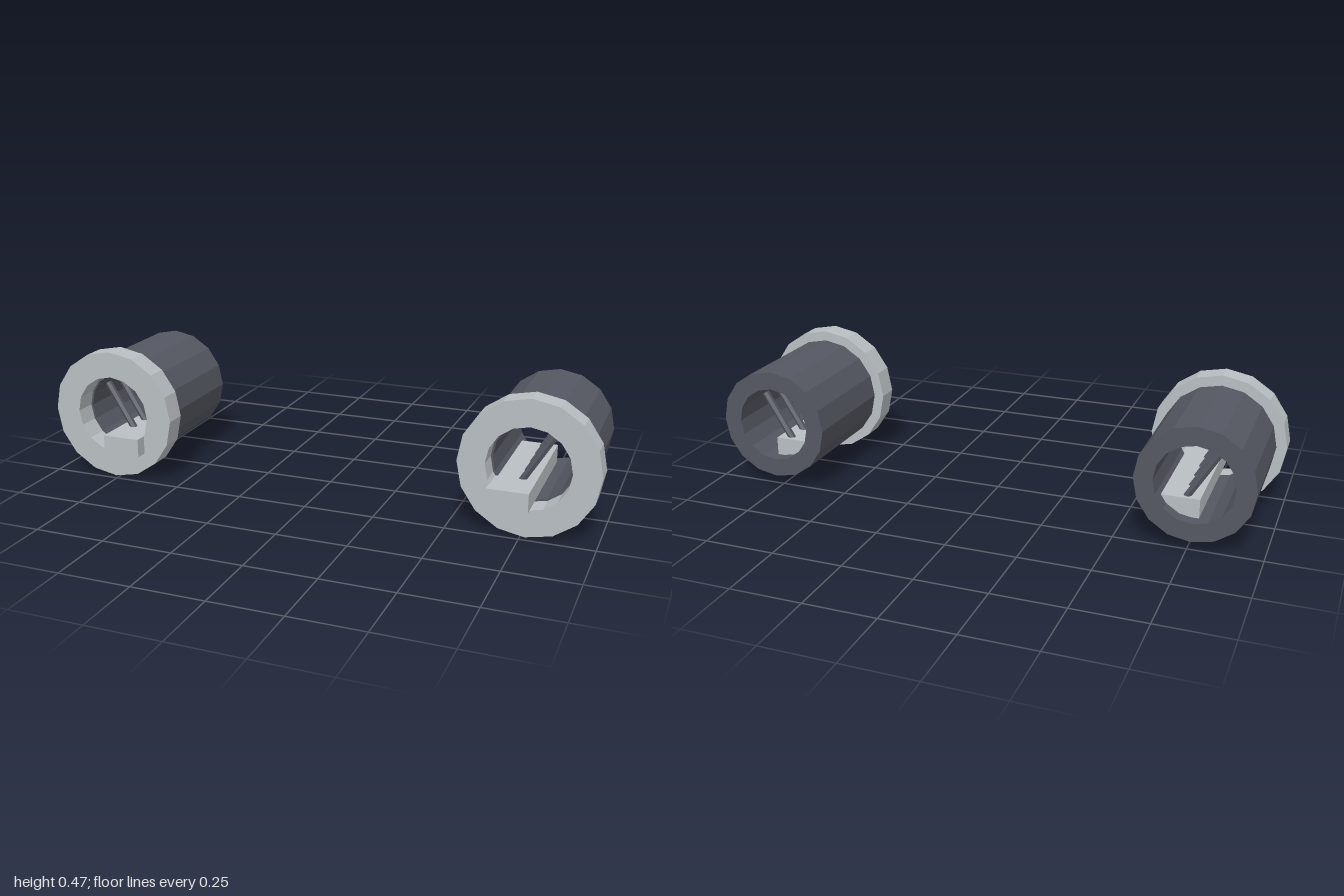
import * as THREE from 'three';

const darkMetal = new THREE.MeshStandardMaterial({ color: 0x555862 });
darkMetal.name = 'darkMetal';
const paleMetal = new THREE.MeshStandardMaterial({ color: 0xb9bfc3 });
paleMetal.name = 'paleMetal';

const CENTER_X = 0.765, CENTER_Y = 0.2365, SIDES = 16;

function flat(geometry) {
  const g = geometry.toNonIndexed();
  g.computeVertexNormals();
  return g;
}

function addMesh(parent, name, geometry, material) {
  const mesh = new THREE.Mesh(flat(geometry), material);
  mesh.name = name;
  parent.add(mesh);
  return mesh;
}

// Hollow faceted ring along z
function hollowRing(inner, outer, back, front) {
  const profile = [
    [inner, back], [outer, back], [outer, front], [inner, front], [inner, back],
  ].map(([r, y]) => new THREE.Vector2(r, y));
  return new THREE.LatheGeometry(profile, SIDES).rotateX(Math.PI / 2);
}

// One hollow unit; side is +1 for left, -1 for right
function createUnit(side) {
  const unit = new THREE.Group();
  unit.name = side > 0 ? 'leftTube' : 'rightTube';
  unit.position.set(side * CENTER_X, CENTER_Y, 0);

  addMesh(unit, 'barrel', hollowRing(0.135, 0.2, -0.27, 0.147), darkMetal);
  addMesh(unit, 'frontCollar', hollowRing(0.142, 0.2365, 0.147, 0.228), paleMetal);

  // Long bar low in the bore, poking out of the front
  addMesh(unit, 'innerBar', new THREE.BoxGeometry(0.14, 0.066, 0.498), paleMetal)
    .position.set(-side * 0.055, -0.1, 0.023);

  // Row of slanted rods rising from the bar
  const top = new THREE.Vector2(side * 0.066, 0.094);
  const bottom = new THREE.Vector2(-side * 0.042, -0.085);
  const dir = top.clone().sub(bottom);
  for (let i = 0; i < 5; i++) {
    const rod = addMesh(unit, 'slantedRod', new THREE.CylinderGeometry(0.013, 0.013, dir.length(), 6), darkMetal);
    rod.position.set((top.x + bottom.x) / 2, (top.y + bottom.y) / 2, -0.2 + i * 0.085);
    rod.rotation.z = -Math.atan2(dir.x, dir.y);
  }
  return unit;
}

export function createModel() {
  const model = new THREE.Group();
  model.name = 'tubePair';
  for (const side of [1, -1]) model.add(createUnit(side));
  return model;
}
